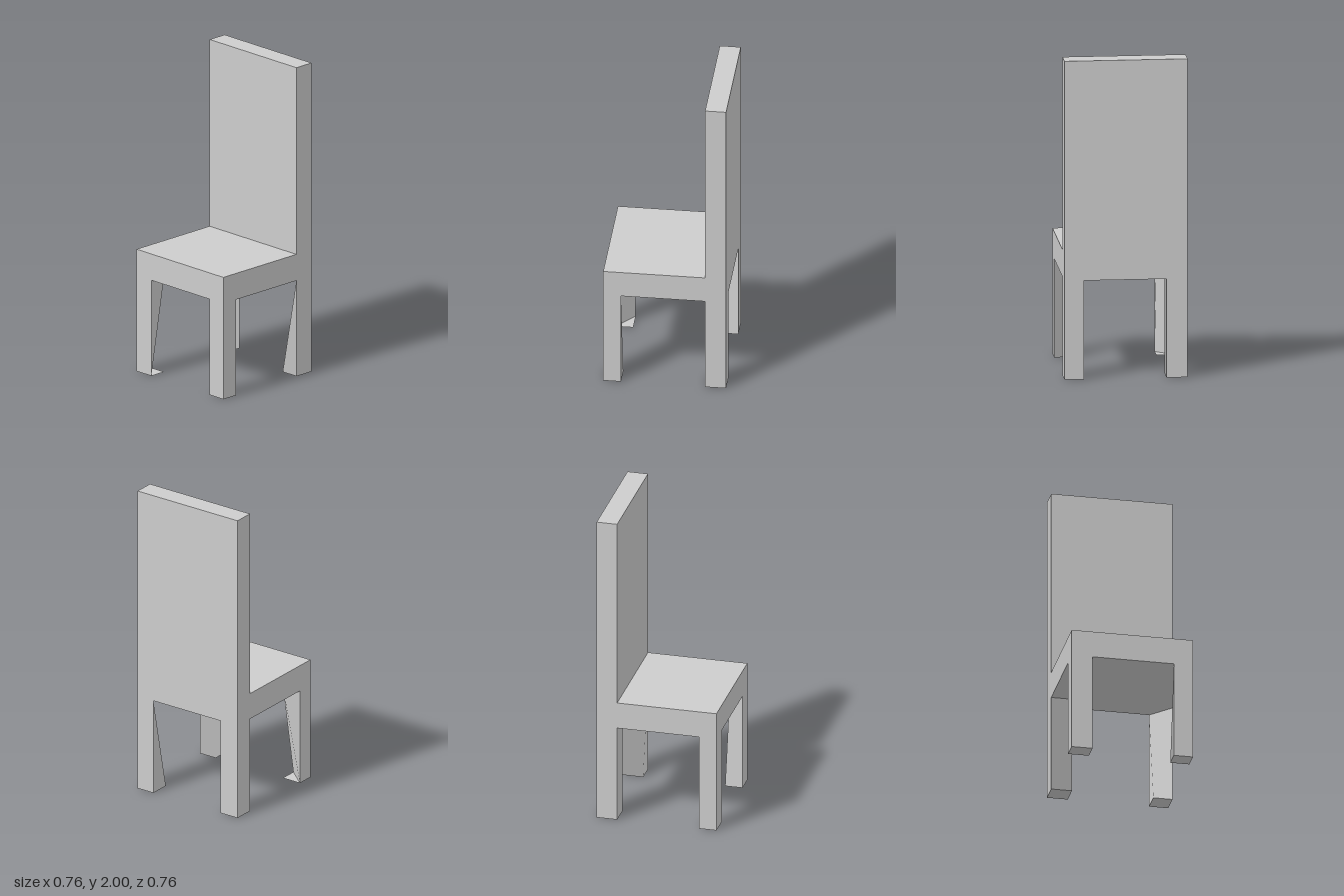
import * as THREE from 'three';

const grey = new THREE.MeshStandardMaterial({ color: 0xcccccc });
grey.name = 'plain grey';

const HALF = 0.38, SEAT_BOTTOM = 0.62, SEAT_TOP = 0.79, BACK_FRONT = -0.25;

// Box given by its minimum and maximum corners
function block(name, min, max) {
  const size = max.map((v, i) => v - min[i]);
  const geometry = new THREE.BoxGeometry(...size);
  geometry.translate(...min.map((v, i) => v + size[i] / 2));
  const mesh = new THREE.Mesh(geometry, grey);
  mesh.name = name;
  return mesh;
}

// Leg with outer corner (ox, oz) and inner corner (ix, iz).
// shape: 'square', 'cutFoot' (inner corner fades out downwards over a
// square foot plate) or 'cutTop' (inner corner fades out upwards).
function leg(name, ox, oz, ix, iz, shape) {
  const at = (x, z) => [0, SEAT_BOTTOM].map((y) => new THREE.Vector3(x, y, z));
  const [O0, O1] = at(ox, oz);
  const [X0, X1] = at(ix, oz);
  const [Z0, Z1] = at(ox, iz);
  const [I0, I1] = at(ix, iz);
  const positions = [], normals = [];

  // Triangle turned to face along the normal n
  const tri = (a, b, c, n) => {
    const face = b.clone().sub(a).cross(c.clone().sub(a));
    const order = face.dot(n) > 0 ? [a, b, c] : [a, c, b];
    for (const p of order) {
      positions.push(p.x, p.y, p.z);
      normals.push(n.x, n.y, n.z);
    }
  };
  const quad = (a, b, c, d, n) => { tri(a, b, c, n); tri(a, c, d, n); };

  const sx = Math.sign(ox), sz = Math.sign(oz);
  const down = new THREE.Vector3(0, -1, 0);
  const inward = new THREE.Vector3(-sx, 0, -sz).normalize();

  // Outer walls and sole
  quad(O0, X0, X1, O1, new THREE.Vector3(0, 0, sz));
  quad(O0, Z0, Z1, O1, new THREE.Vector3(sx, 0, 0));
  quad(O0, X0, I0, Z0, down);

  // Inner walls, shaded softly around the corner
  if (shape === 'cutFoot') {
    tri(X0, X1, I1, inward);
    tri(Z0, Z1, I1, inward);
    tri(X0, I1, Z0, inward);
    tri(X0, I0, Z0, new THREE.Vector3(0, 1, 0));
  } else if (shape === 'cutTop') {
    tri(X0, X1, I0, inward);
    tri(Z0, Z1, I0, inward);
    tri(X1, Z1, I0, inward);
  } else {
    quad(X0, X1, I1, I0, inward);
    quad(Z0, Z1, I1, I0, inward);
  }

  const geometry = new THREE.BufferGeometry();
  geometry.setAttribute('position', new THREE.Float32BufferAttribute(positions, 3));
  geometry.setAttribute('normal', new THREE.Float32BufferAttribute(normals, 3));
  const mesh = new THREE.Mesh(geometry, grey);
  mesh.name = name;
  return mesh;
}

export function createModel() {
  const chair = new THREE.Group();
  chair.name = 'chair';

  // Seat and tall backrest
  chair.add(
    block('seat', [-HALF, SEAT_BOTTOM, BACK_FRONT], [HALF, SEAT_TOP, HALF]),
    block('backrest', [-HALF, SEAT_BOTTOM, -HALF], [HALF, 2, BACK_FRONT]),
  );

  // Four legs
  chair.add(
    leg('frontRightLeg', -HALF, HALF, -0.25, 0.27, 'cutFoot'),
    leg('frontLeftLeg', HALF, HALF, 0.26, 0.27, 'cutTop'),
    leg('backLeftLeg', HALF, -HALF, 0.26, BACK_FRONT, 'cutTop'),
    leg('backRightLeg', -HALF, -HALF, -0.25, BACK_FRONT, 'square'),
  );
  return chair;
}
